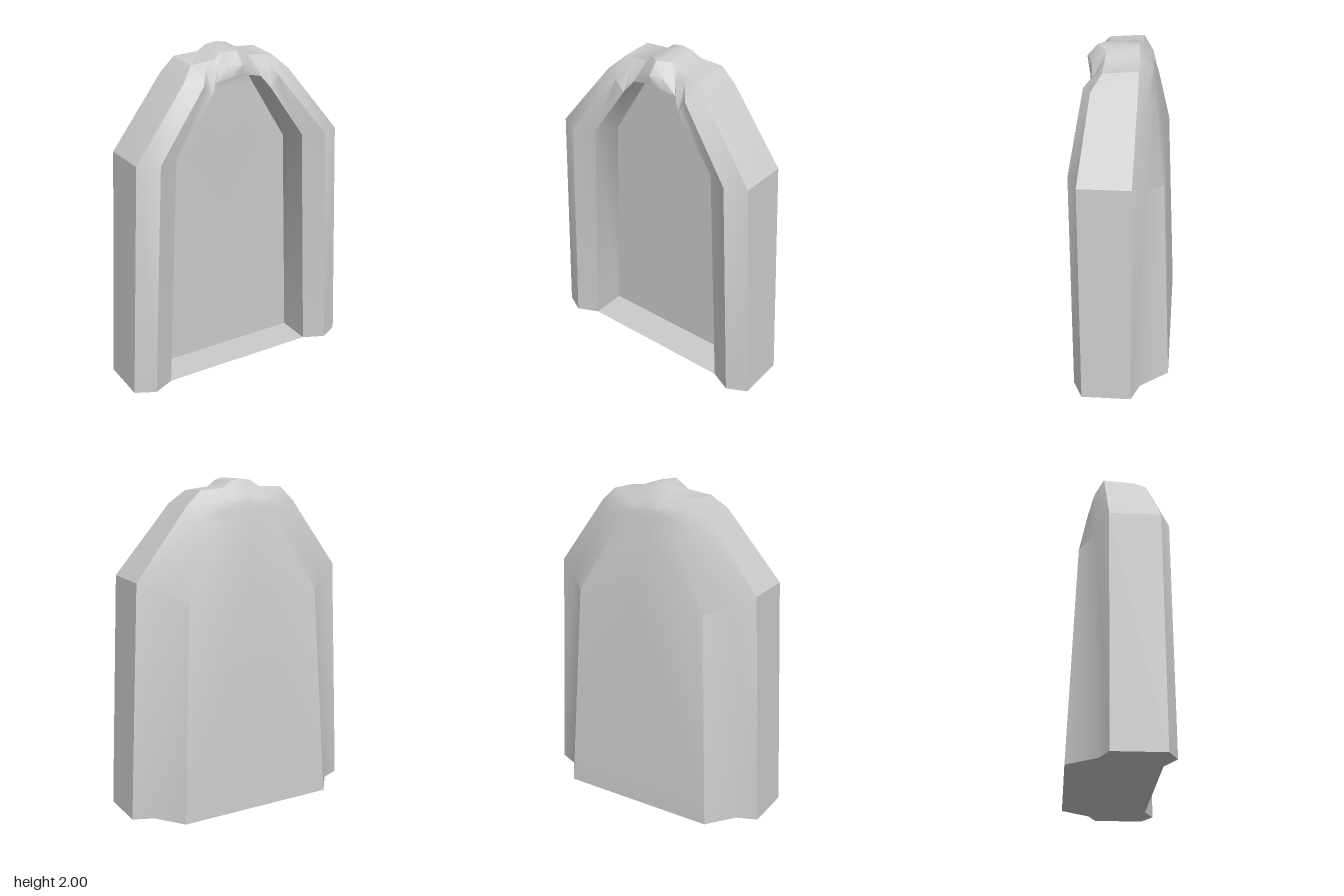
import * as THREE from 'three';
import { toCreasedNormals } from 'three/addons/utils/BufferGeometryUtils.js';

// Left-half rails [x, y, z], each running from the foot, past the shoulder, to the crown.
const panelRail = [[0.5, 0, 0.01], [0.43, 1.38, 0.03], [0.2, 1.74, 0.04], [0.17, 1.79, 0.04],
  [0.15, 1.83, 0.05], [0.07, 1.83, 0.05], [0, 1.83, 0.05]];
const innerRail = [[0.5, 0, 0.23], [0.43, 1.44, 0.23], [0.2, 1.76, 0.225], [0.17, 1.8, 0.21],
  [0.15, 1.83, 0.19], [0.07, 1.85, 0.21], [0, 1.87, 0.225]];
const ridgeRail = [[0.63, 0, 0.29], [0.56, 1.44, 0.29], [0.25, 1.83, 0.23], [0.19, 1.91, 0.155],
  [0.115, 1.91, 0.15], [0.06, 1.92, 0.2], [0, 1.92, 0.23]];
const frontRail = [[0.75, 0, 0.23], [0.68, 1.44, 0.23], [0.35, 1.85, 0.18], [0.27, 1.93, 0.12],
  [0.12, 1.945, 0.12], [0.065, 1.982, 0.12], [0, 1.99, 0.17]];
const backRail = [[0.75, 0, -0.07], [0.68, 1.44, -0.07], [0.36, 1.86, -0.08], [0.27, 1.945, -0.08],
  [0.12, 1.952, -0.08], [0.065, 1.99, -0.07], [0, 2, -0.07]];
const bevelRail = [[0.63, 0, -0.12], [0.56, 1.38, -0.14], [0.3, 1.78, -0.14], [0.22, 1.87, -0.135],
  [0.12, 1.9, -0.13], [0.06, 1.91, -0.13], [0, 1.91, -0.13]];
const rearRail = [[0.5, 0, -0.29], [0.43, 1.33, -0.235], [0.2, 1.73, -0.175], [0.15, 1.82, -0.157],
  [0.12, 1.87, -0.15], [0.06, 1.87, -0.15], [0, 1.87, -0.15]];

const toCentre = rail => rail.map(([, y, z]) => [0, y, z]);

// Skin neighbouring rails with quads, mirrored across x = 0.
function skin(rails) {
  const pos = [];
  const tri = new THREE.Triangle();
  const add = (...pts) => {
    tri.set(...pts.map(p => new THREE.Vector3(...p)));
    if (tri.getArea() < 1e-6) return;
    pos.push(...pts.flat());
    pos.push(...[pts[0], pts[2], pts[1]].flatMap(([x, y, z]) => [-x, y, z]));
  };
  for (let k = 0; k < rails.length - 1; k++) {
    for (let j = 0; j < rails[k].length - 1; j++) {
      const a = rails[k][j], b = rails[k + 1][j];
      const c = rails[k + 1][j + 1], d = rails[k][j + 1];
      add(a, b, c);
      add(a, c, d);
    }
  }
  const geo = new THREE.BufferGeometry();
  geo.setAttribute('position', new THREE.Float32BufferAttribute(pos, 3));
  return toCreasedNormals(geo, 0.6);
}

export function createModel() {
  const group = new THREE.Group();
  const material = new THREE.MeshStandardMaterial({ color: 0xcccccc });
  const addMesh = (name, geo, mat = material) => {
    const mesh = new THREE.Mesh(geo, mat);
    mesh.name = name;
    group.add(mesh);
  };

  // Recessed panel
  addMesh('recessedPanel', skin([toCentre(panelRail), panelRail]));
  // Arched surround with its ridge and crown, and the solid back
  addMesh('archAndBack', skin([panelRail, innerRail, ridgeRail, frontRail, backRail,
    bevelRail, rearRail, toCentre(rearRail)]));

  // Base, which also forms the floor of the recess
  const half = [innerRail, ridgeRail, frontRail, backRail, bevelRail, rearRail]
    .map(rail => new THREE.Vector2(rail[0][0], rail[0][2]));
  const outline = [...half, ...half.map(p => new THREE.Vector2(-p.x, p.y)).reverse()];
  const base = new THREE.ShapeGeometry(new THREE.Shape(outline)).rotateX(Math.PI / 2);
  const baseMaterial = material.clone();
  baseMaterial.side = THREE.DoubleSide;
  addMesh('base', base, baseMaterial);

  return group;
}
